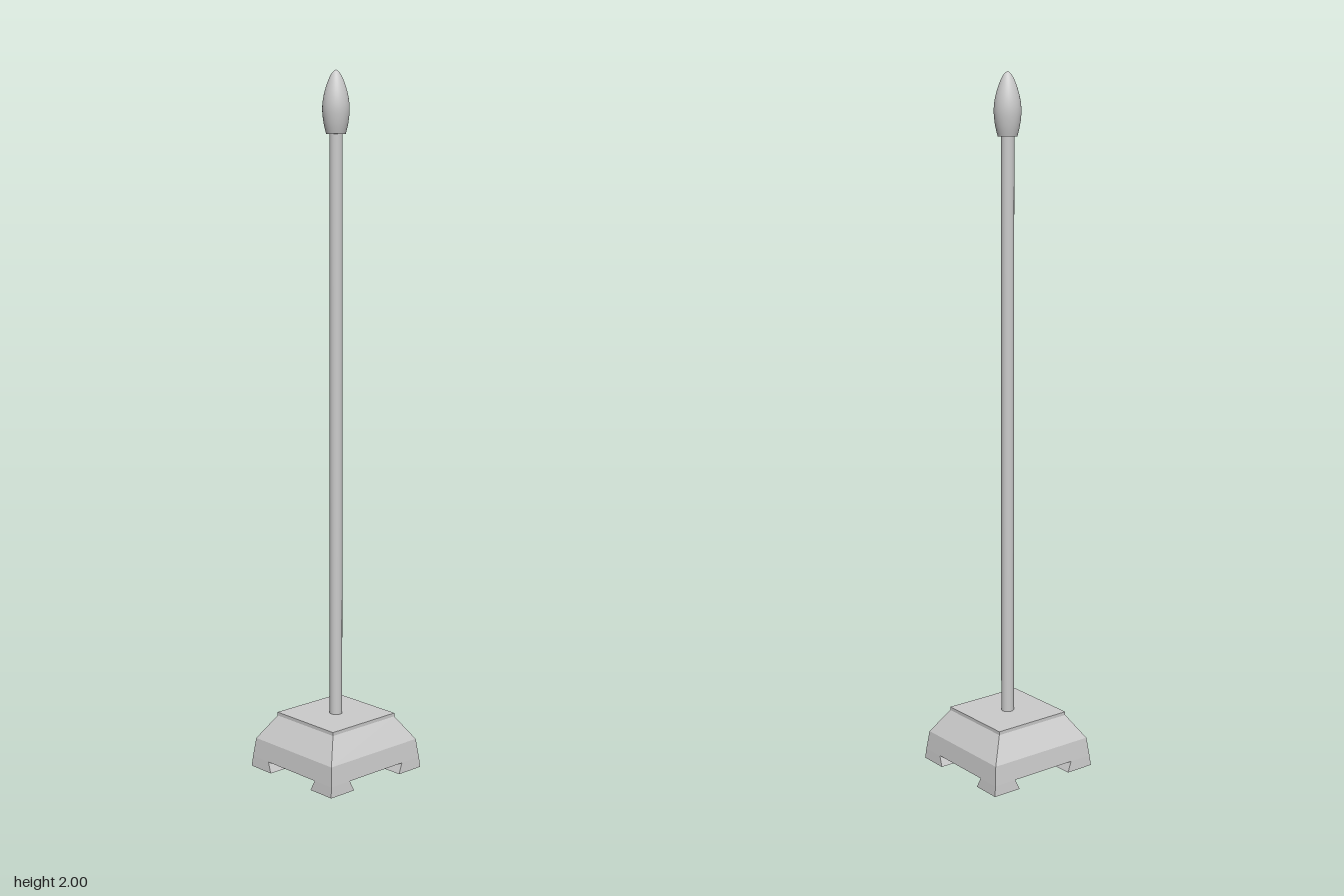
import * as THREE from 'three';

const material = new THREE.MeshStandardMaterial({ color: 0xcccccc });

// Four-sided block whose bottom and top rectangles [x0, x1, z0, z1] differ
function taperedBlock(y0, bottom, y1, top) {
  const geo = new THREE.BoxGeometry(1, 1, 1);
  const p = geo.attributes.position;
  for (let i = 0; i < p.count; i++) {
    const up = p.getY(i) > 0;
    const r = up ? top : bottom;
    p.setXYZ(i, p.getX(i) < 0 ? r[0] : r[1], up ? y1 : y0, p.getZ(i) < 0 ? r[2] : r[3]);
  }
  geo.computeVertexNormals();
  return geo;
}

const centred = (x, z) => [-x, x, -z, z];

export function createModel() {
  const model = new THREE.Group();
  const add = (name, geo, parent = model) => {
    const mesh = new THREE.Mesh(geo, material);
    mesh.name = name;
    parent.add(mesh);
    return mesh;
  };

  // Stepped base: steep skirt, sloping shoulder, thin top slab
  const base = new THREE.Group();
  base.name = 'base';
  model.add(base);
  add('baseSkirt', taperedBlock(0.03, centred(0.169, 0.175), 0.085, centred(0.162, 0.168)), base);
  add('baseShoulder', taperedBlock(0.085, centred(0.162, 0.168), 0.154, centred(0.119, 0.122)), base);
  add('baseSlab', taperedBlock(0.154, centred(0.119, 0.122), 0.164, centred(0.119, 0.122)), base);

  // Four corner feet, flaring slightly towards the floor
  for (const sx of [-1, 1]) {
    for (const sz of [-1, 1]) {
      const span = (a, b, s) => (s > 0 ? [a, b] : [-b, -a]);
      const bottom = [...span(0.086, 0.172, sx), ...span(0.09, 0.178, sz)];
      const top = [...span(0.1, 0.169, sx), ...span(0.104, 0.175, sz)];
      add('foot', taperedBlock(0, bottom, 0.03, top), base);
    }
  }

  // Slender pole
  const pole = add('pole', new THREE.CylinderGeometry(0.0185, 0.0185, 1.68, 20));
  pole.position.y = 0.16 + 0.84;

  // Bud-shaped finial: flat underside, then a smooth pointed body
  const body = new THREE.SplineCurve([
    [0.027, 1.826], [0.034, 1.855], [0.038, 1.893], [0.034, 1.93],
    [0.023, 1.967], [0.011, 1.991], [0, 2],
  ].map(([x, y]) => new THREE.Vector2(x, y))).getPoints(18);
  body[body.length - 1].x = 0;
  add('finial', new THREE.LatheGeometry(body, 32));
  const underside = add('finialUnderside', new THREE.CircleGeometry(0.027, 32));
  underside.rotation.x = Math.PI / 2;
  underside.position.y = 1.826;

  return model;
}
